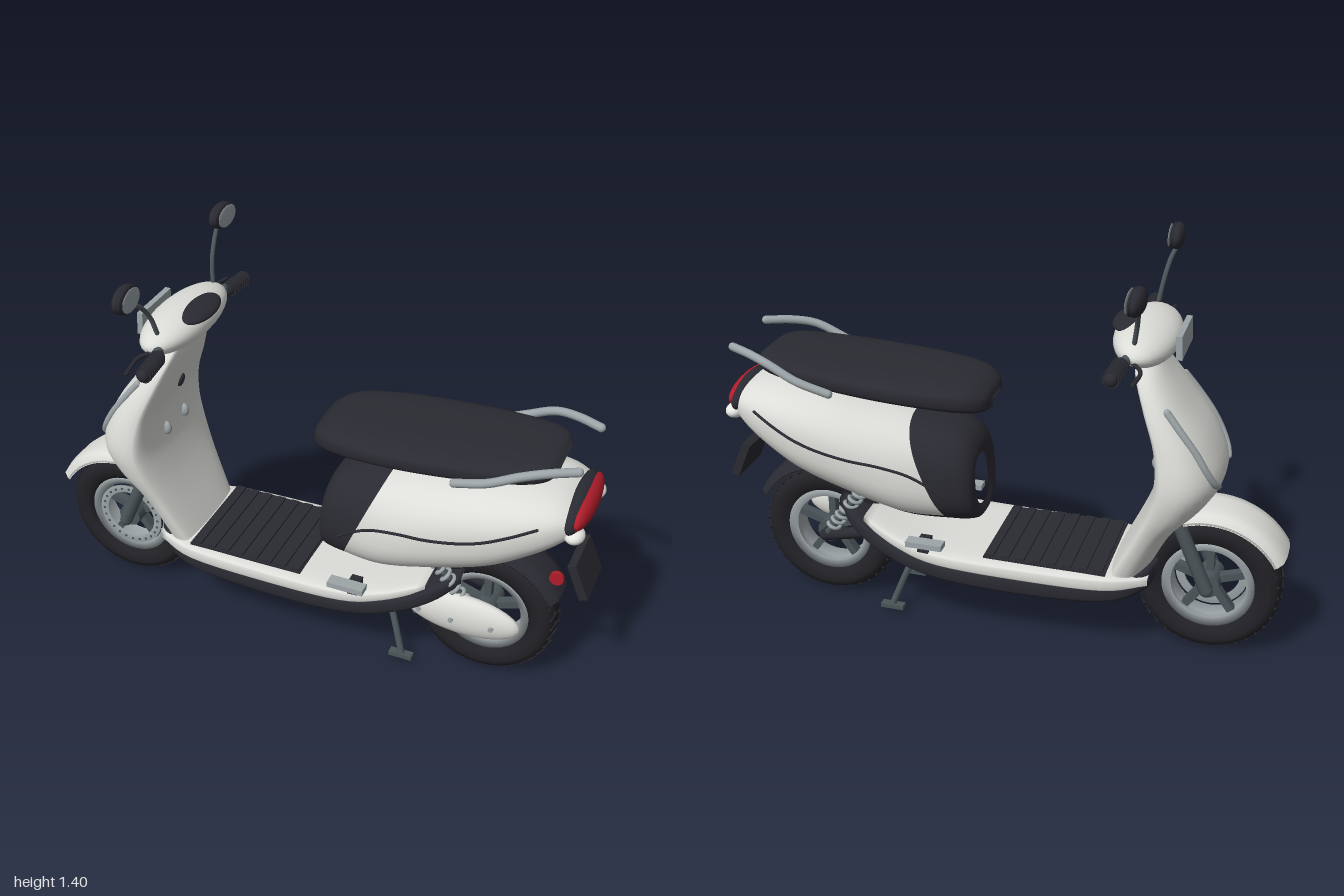
import * as THREE from 'three';
import { mergeGeometries } from 'three/addons/utils/BufferGeometryUtils.js';

const M = {};
for (const [name, color] of Object.entries({
  white: 0xdcddd8, black: 0x2a2a32, rubber: 0x222227, silver: 0x9da5a8,
  steel: 0x4b5559, red: 0xb01c2a, lens: 0xe6e6e2, mirrorGlass: 0x98a2a7,
})) {
  M[name] = new THREE.MeshStandardMaterial({ color });
  M[name].name = name;
}
const V = (x, y, z) => new THREE.Vector3(x, y, z);
const spow = (v, p) => Math.sign(v) * Math.abs(v) ** p;

function add(parent, name, geo, mat, pos = [0, 0, 0], rot = [0, 0, 0]) {
  const m = new THREE.Mesh(geo, mat);
  m.name = name;
  m.position.set(...pos);
  m.rotation.set(...rot);
  parent.add(m);
  return m;
}
const ball = (x, y, z) => new THREE.SphereGeometry(1, 32, 20).scale(x, y, z);
const box = (x, y, z) => new THREE.BoxGeometry(x, y, z);
const disc = (r, h, n = 24) => new THREE.CylinderGeometry(r, r, h, n).rotateX(Math.PI / 2);

// Round-ended tube through points
function tube(pts, r) {
  const p = pts.map(a => (a.isVector3 ? a : V(...a)));
  const end = q => new THREE.SphereGeometry(r, 10, 8).translate(q.x, q.y, q.z);
  return mergeGeometries([
    new THREE.TubeGeometry(new THREE.CatmullRomCurve3(p), p.length * 8, r, 10), end(p[0]), end(p[p.length - 1])]);
}

// Smoothly interpolated table of cross-section rows
function rowsOf(rows) {
  const c = new THREE.CubicInterpolant(rows.map((_, i) => i), rows.flat(), rows[0].length);
  return t => Array.from(c.evaluate(t));
}

// Closed skin over point(t, angle), with optional face colouring
function loft(point, tMax, per = 5, nv = 40, pick = () => 0) {
  const pos = [], idx = [[], []], nu = tMax * per;
  for (let i = 0; i <= nu; i++)
    for (let j = 0; j < nv; j++) pos.push(...point(i / per, (j / nv) * Math.PI * 2).toArray());
  const at = (i, j) => i * nv + (j % nv);
  for (let i = 0; i < nu; i++) for (let j = 0; j < nv; j++) {
    const list = idx[pick((i + 0.5) / per, ((j + 0.5) / nv) * Math.PI * 2)];
    list.push(at(i, j), at(i + 1, j), at(i + 1, j + 1), at(i, j), at(i + 1, j + 1), at(i, j + 1));
  }
  for (const i of [0, nu]) {
    const c = V(0, 0, 0), k = pos.length / 3;
    for (let j = 0; j < nv; j++) c.add(V(...pos.slice(at(i, j) * 3, at(i, j) * 3 + 3)));
    pos.push(...c.divideScalar(nv).toArray());
    for (let j = 0; j < nv; j++) {
      const list = idx[pick(i / per, ((j + 0.5) / nv) * Math.PI * 2)];
      if (i) list.push(k, at(i, j), at(i, j + 1)); else list.push(k, at(i, j + 1), at(i, j));
    }
  }
  const g = new THREE.BufferGeometry();
  g.setAttribute('position', new THREE.Float32BufferAttribute(pos, 3));
  g.setIndex([...idx[0], ...idx[1]]);
  g.addGroup(0, idx[0].length, 0);
  g.addGroup(idx[0].length, idx[1].length, 1);
  g.computeVertexNormals();
  return g;
}

// Skin running along x; rows are bottom x, y, top x, y, half width
function alongX(rows, p) {
  const f = rowsOf(rows);
  return (t, a) => {
    const [bx, by, tx, ty, w] = f(t), k = (spow(Math.sin(a), p) + 1) / 2;
    return V(bx + (tx - bx) * k, by + (ty - by) * k, w * spow(Math.cos(a), p));
  };
}
const upright = rows => rows.map(([x, b, t, w]) => [x, b, x, t, w]);

// Ring about the wheel axle from a closed profile, between two angles
const ring = (pts, from = 0, to = 360, n = 64) => new THREE.LatheGeometry(
  [...pts, pts[0]].map(p => new THREE.Vector2(...p)), n,
  THREE.MathUtils.degToRad(from + 90), THREE.MathUtils.degToRad(to - from)).rotateX(Math.PI / 2);
const band = (r, w, th) => [[r - 0.03, -w], [r - 0.008, -w * 0.85], [r, -w * 0.4], [r, w * 0.4], [r - 0.008, w * 0.85],
  [r - 0.03, w], [r - 0.03 - th, w], [r - 0.008 - th, w * 0.8], [r - th, w * 0.4], [r - th, -w * 0.4],
  [r - 0.008 - th, -w * 0.8], [r - 0.03 - th, -w]];

function wheel(name, x) {
  const g = new THREE.Group();
  g.name = name;
  g.position.set(x, 0.25, 0);
  add(g, 'tyre', ring([[0.155, -0.045], [0.18, -0.062], [0.21, -0.067], [0.232, -0.058], [0.244, -0.035], [0.247, 0],
    [0.244, 0.035], [0.232, 0.058], [0.21, 0.067], [0.18, 0.062], [0.155, 0.045]]), M.rubber);
  // Slanted tread blocks
  const blocks = [];
  for (let i = 0; i < 36; i++) for (const s of [1, -1])
    blocks.push(box(0.008, 0.01, 0.042).rotateY(s * 0.5).rotateX(s * 0.3)
      .translate(0, 0.243, s * 0.034).rotateZ(((i + (s > 0 ? 0 : 0.5)) / 36) * Math.PI * 2));
  add(g, 'tread', mergeGeometries(blocks), M.rubber);
  add(g, 'rim', ring([[0.13, -0.04], [0.16, -0.05], [0.16, 0.05], [0.13, 0.04], [0.14, 0]]), M.silver);
  for (let i = 0; i < 5; i++) {
    const a = (i / 5) * Math.PI * 2 + Math.PI / 2;
    add(g, 'spoke', box(0.12, 0.026, 0.035), M.steel, [Math.cos(a) * 0.08, Math.sin(a) * 0.08, 0], [0, 0, a]);
  }
  add(g, 'hub', disc(0.042, 0.12), M.steel);
  add(g, 'axle', disc(0.018, 0.19), M.black);
  return g;
}

export function createModel() {
  const g = new THREE.Group();
  g.name = 'scooter';
  const front = wheel('frontWheel', -0.74);
  g.add(front, wheel('rearWheel', 0.65));
  // Drilled brake disc
  add(front, 'brakeDisc', ring([[0.098, 0.045], [0.127, 0.045], [0.127, 0.051], [0.098, 0.051]]), M.silver);
  for (let i = 0; i < 24; i++) {
    const a = (i / 24) * Math.PI * 2;
    add(front, 'discHole', disc(0.005, 0.004, 8), M.steel, [Math.cos(a) * 0.113, Math.sin(a) * 0.113, 0.051]);
  }

  // Mudguards
  add(g, 'frontMudguard', ring(band(0.297, 0.1, 0.01), 60, 150, 32), M.white, [-0.74, 0.25, 0]);
  add(g, 'rearMudguard', ring(band(0.292, 0.08, 0.01), 28, 125, 32), M.black, [0.65, 0.25, 0]);

  // Leg shield
  const shieldRow = rowsOf([[0.28, -0.53, -0.40, 0.175], [0.46, -0.62, -0.485, 0.21], [0.58, -0.725, -0.53, 0.24],
    [0.68, -0.77, -0.55, 0.25], [0.8, -0.725, -0.54, 0.23], [0.92, -0.64, -0.5, 0.195], [1.02, -0.57, -0.465, 0.145],
    [1.08, -0.535, -0.455, 0.085]]);
  const shield = (t, a) => {
    const [y, xf, xr, w] = shieldRow(t), s = Math.sin(a), xm = xr - 0.3 * (xr - xf);
    return V(s > 0 ? xm - (xm - xf) * s ** 0.85 : xm + (xr - xm) * (-s) ** 0.5, y, w * spow(Math.cos(a), 0.85));
  };
  add(g, 'legShield', loft(shield, 7), M.white);
  add(g, 'keySwitch', ball(0.012, 0.03, 0.013), M.black, [-0.517, 0.87, 0], [0, 0, -0.35]);

  // Floor and belly
  add(g, 'belly', loft(alongX(upright([[-0.57, 0.28, 0.34, 0.09], [-0.53, 0.23, 0.34, 0.155], [-0.4, 0.19, 0.29, 0.2],
    [-0.1, 0.18, 0.28, 0.218], [0.2, 0.2, 0.285, 0.218], [0.38, 0.25, 0.335, 0.2], [0.5, 0.315, 0.395, 0.17],
    [0.58, 0.38, 0.425, 0.11]]), 0.5), 7), M.black);
  add(g, 'floorboard', loft(alongX(upright([[-0.55, 0.27, 0.31, 0.16], [-0.4, 0.25, 0.314, 0.212], [-0.1, 0.25, 0.314, 0.226],
    [0.18, 0.262, 0.32, 0.226], [0.33, 0.298, 0.347, 0.207], [0.47, 0.35, 0.39, 0.16]]), 0.4), 5), M.white);
  add(g, 'floorMat', box(0.43, 0.012, 0.38), M.black, [-0.195, 0.312, 0]);
  for (let i = 0; i < 8; i++) add(g, 'matRib', box(0.03, 0.01, 0.37), M.black, [-0.385 + i * 0.055, 0.32, 0]);

  // Rear body with dark front and underside
  const body = alongX([[0.075, 0.43, 0.09, 0.61, 0.07], [0.063, 0.4, 0.08, 0.66, 0.13], [0.085, 0.39, 0.14, 0.725, 0.17],
    [0.15, 0.388, 0.31, 0.768, 0.2], [0.3, 0.395, 0.45, 0.8, 0.232], [0.5, 0.455, 0.6, 0.833, 0.247],
    [0.68, 0.52, 0.75, 0.847, 0.238], [0.83, 0.61, 0.86, 0.84, 0.205], [0.92, 0.68, 0.92, 0.82, 0.165],
    [0.945, 0.71, 0.95, 0.8, 0.13]], 0.8);
  add(g, 'rearBody', loft(body, 9, 6, 48, (t, a) =>
    (t < 3 || (t < 8 && Math.abs(a - Math.PI * 1.5) < 0.85) ? 1 : 0)), [M.white, M.black]);
  // Lift a side-view point onto the body skin
  const onBody = ([x, y]) => {
    let best, d = 9;
    for (let t = 1; t <= 9; t += 0.05) for (let a = -1.5; a < 1.5; a += 0.04) {
      const p = body(t, a), e = Math.hypot(p.x - x, p.y - y);
      if (e < d) { d = e; best = p; }
    }
    return V(x, y, best.z + 0.002);
  };
  const seam = [[0.16, 0.52], [0.21, 0.56], [0.28, 0.6], [0.38, 0.63], [0.49, 0.647], [0.6, 0.67], [0.68, 0.695],
    [0.76, 0.73], [0.84, 0.765]].map(onBody);

  // Seat
  add(g, 'seat', loft(alongX(upright([[0.025, 0.825, 0.85, 0.05], [0.045, 0.812, 0.885, 0.115], [0.11, 0.814, 0.912, 0.165],
    [0.25, 0.825, 0.925, 0.195], [0.42, 0.838, 0.935, 0.203], [0.6, 0.855, 0.945, 0.195], [0.75, 0.87, 0.953, 0.172],
    [0.83, 0.885, 0.95, 0.14], [0.865, 0.9, 0.93, 0.08]]), 0.65), 8), M.black);

  // Tail light and number plate
  add(g, 'tailLightHousing', ball(0.045, 0.066, 0.172), M.black, [0.93, 0.765, 0], [0, 0, 0.1]);
  add(g, 'tailLight', ball(0.034, 0.048, 0.16), M.red, [0.949, 0.775, 0], [0, 0, 0.1]);
  add(g, 'numberPlate', box(0.03, 0.135, 0.185), M.black, [0.967, 0.508, 0], [0, 0, 0.4]);
  add(g, 'reflector', disc(0.024, 0.015), M.red, [0.905, 0.54, 0.13]);

  // Handlebar cowl, headlight and dashboard
  add(g, 'handlebarCowl', ball(0.107, 0.066, 0.245), M.white, [-0.488, 1.125, 0], [0, 0, 0.12]);
  add(g, 'headlight', box(0.02, 0.08, 0.2), M.silver, [-0.604, 1.125, 0], [0, 0, -0.05]);
  add(g, 'dashboard', ball(0.054, 0.02, 0.113), M.black, [-0.425, 1.172, 0], [0, 0, -0.12]);

  // Drive cover on the left flank
  add(g, 'driveCover', ball(0.205, 0.08, 0.042), M.white, [0.595, 0.277, 0.125], [0, 0, -0.03]);
  [[0.45, 0.155], [0.57, 0.168], [0.71, 0.162]].forEach(([x, z]) =>
    add(g, 'coverScrew', disc(0.009, 0.01, 12), M.silver, [x, 0.275, z]));

  // Paired parts
  for (const s of [1, -1]) {
    const side = new THREE.Group();
    side.name = s > 0 ? 'nearSide' : 'farSide';
    g.add(side);
    const P = pts => pts.map(p => (p.isVector3 ? V(p.x, p.y, p.z * s) : V(p[0], p[1], p[2] * s)));
    const run = (name, pts, r, mat) => add(side, name, tube(P(pts), r), mat);

    run('fork', [[-0.63, 0.5, 0.085], [-0.685, 0.375, 0.085], [-0.74, 0.25, 0.085]], 0.024, M.steel);
    run('bodySeam', seam, 0.005, M.black);
    run('grabRail', [[0.56, 0.865, 0.2], [0.67, 0.905, 0.215], [0.77, 0.95, 0.205], [0.85, 0.966, 0.175],
      [0.935, 0.97, 0.135]], 0.015, M.silver);
    run('shieldTrim', [[5.1, 0.5], [4.6, 0.62], [4, 0.75], [3.5, 0.85], [3.1, 1.0], [2.9, 1.15]]
      .map(([t, a]) => shield(t, a)), 0.013, M.silver);
    run('kickstandLeg', [[0.3, 0.24, 0.06], [0.345, 0.13, 0.095], [0.385, 0.02, 0.125]], 0.012, M.steel);
    add(side, 'kickstandFoot', box(0.085, 0.016, 0.03), M.steel, [0.383, 0.018, s * 0.125]);
    add(side, 'footPeg', box(0.13, 0.02, 0.045), M.silver, [0.215, 0.36, s * 0.235]);
    add(side, 'pegBracket', box(0.04, 0.05, 0.05), M.black, [0.23, 0.335, s * 0.195]);
    add(side, 'hook', ball(0.018, 0.026, 0.014), M.silver, [-0.548, 0.7, s * 0.065]);
    add(side, 'turnSignal', ball(0.034, 0.026, 0.042), M.lens, [0.945, 0.73, s * 0.133]);

    // Coil shock absorber
    const top = V(0.475, 0.485, s * 0.115), foot = V(0.63, 0.275, s * 0.105);
    run('shockRod', [[top.x, top.y, 0.115], [foot.x, foot.y, 0.105]], 0.013, M.steel);
    const coil = [];
    for (let i = 0; i <= 80; i++) {
      const a = (i / 80) * Math.PI * 14, p = top.clone().lerp(foot, 0.08 + 0.8 * i / 80);
      coil.push(p.add(V(0.8 * Math.cos(a), 0.6 * Math.cos(a), Math.sin(a)).multiplyScalar(0.021)));
    }
    add(side, 'shockSpring', new THREE.TubeGeometry(new THREE.CatmullRomCurve3(coil), 160, 0.007, 8), M.silver);
    run('swingArm', [[0.42, 0.3, 0.09], [0.65, 0.25, 0.09]], 0.022, M.black);

    // Grip, lever and mirror
    run('barEnd', [[-0.47, 1.125, 0.2], [-0.45, 1.115, 0.28]], 0.018, M.steel);
    const grip = [[-0.45, 1.115, 0.255], [-0.443, 1.108, 0.365]];
    run('grip', grip, 0.023, M.black);
    for (let i = 0; i < 7; i++)
      add(side, 'gripRib', disc(0.028, 0.009, 20), M.black, [-0.449 + i * 0.001, 1.114 - i * 0.001, s * (0.265 + i * 0.016)]);
    run('brakeLever', [[-0.48, 1.115, 0.23], [-0.515, 1.105, 0.27], [-0.51, 1.095, 0.36]], 0.007, M.black);
    run('mirrorStem', [[-0.48, 1.17, 0.2], [-0.49, 1.235, 0.22], [-0.5, 1.29, 0.26], [-0.512, 1.325, 0.31]], 0.008, M.steel);
    add(side, 'mirrorShell', ball(0.026, 0.044, 0.068), M.black, [-0.51, 1.355, s * 0.335], [0, s * 0.05, 0.05]);
    add(side, 'mirrorGlass', ball(0.004, 0.037, 0.059), M.mirrorGlass, [-0.484, 1.356, s * 0.335], [0, s * 0.05, 0.05]);
    add(side, 'mirrorRim', ball(0.012, 0.043, 0.067), M.black, [-0.497, 1.355, s * 0.335], [0, s * 0.05, 0.05]);
  }
  return g;
}
